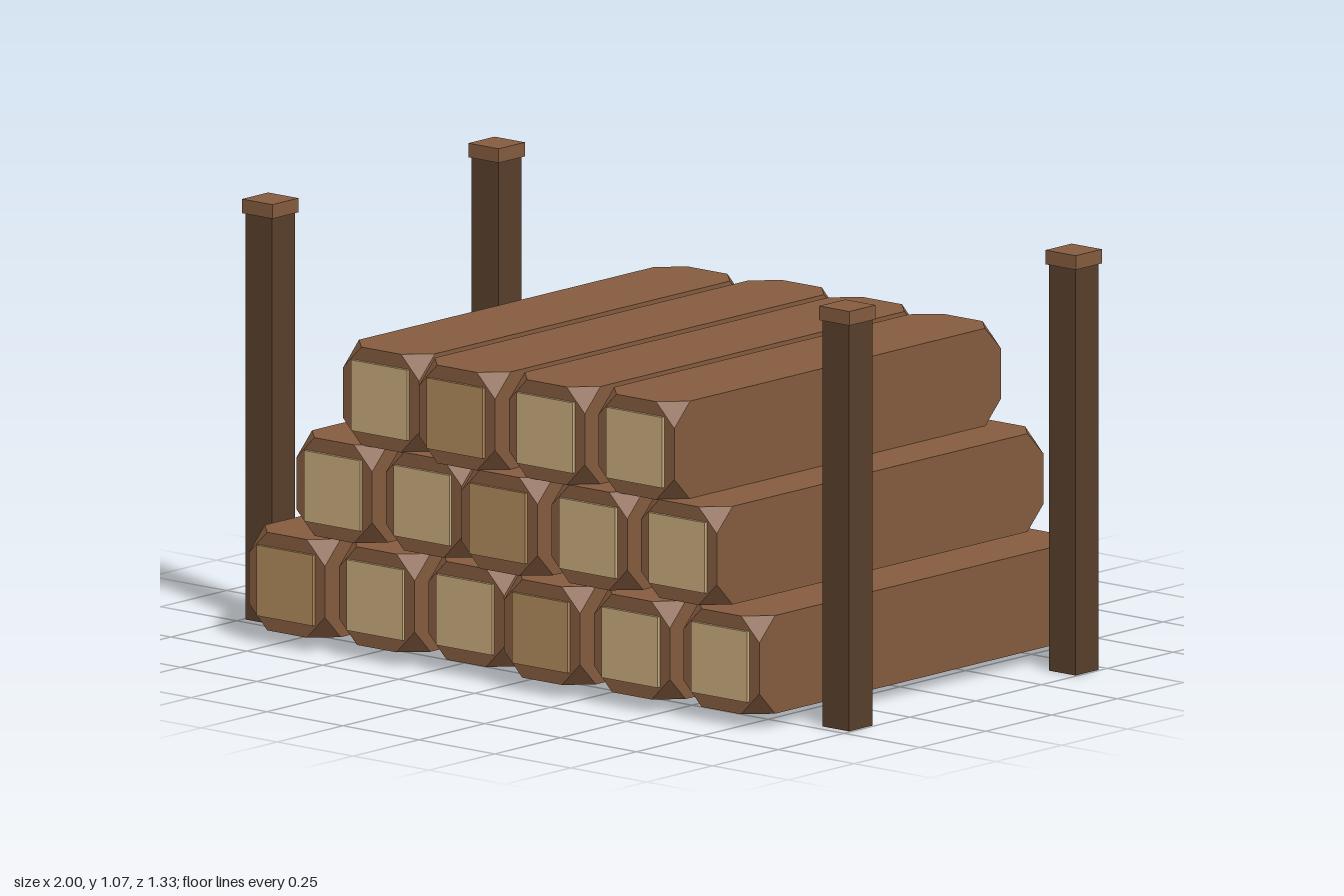
import * as THREE from 'three';
import { ConvexGeometry } from 'three/addons/geometries/ConvexGeometry.js';

const SIZE = 0.25, CUT = 0.06;

// Square log whose eight corners are cut off diagonally
function logGeometry(length) {
  const h = [SIZE / 2, SIZE / 2, length / 2];
  const points = [];
  for (const sx of [-1, 1]) for (const sy of [-1, 1]) for (const sz of [-1, 1]) {
    for (let axis = 0; axis < 3; axis++) {
      const p = [...h];
      p[axis] -= CUT;
      points.push(new THREE.Vector3(p[0] * sx, p[1] * sy, p[2] * sz));
    }
  }
  return new ConvexGeometry(points);
}

export function createModel() {
  const model = new THREE.Group();
  model.name = 'logStack';

  const material = (name, color) => {
    const m = new THREE.MeshStandardMaterial({ color, flatShading: true });
    m.name = name;
    return m;
  };
  const bark = material('bark brown', 0x855c40);
  const darkWood = material('dark post wood', 0x593f2c);
  const paleCut = material('pale cut wood', 0xc8ab7c);
  const tanCut = material('tan cut wood', 0xb08a5a);

  const add = (parent, name, geometry, mat, x, y, z) => {
    const mesh = new THREE.Mesh(geometry, mat);
    mesh.name = name;
    mesh.position.set(x, y, z);
    parent.add(mesh);
  };

  // Three rows of logs in three alternating lengths
  const halfLengths = [0.655, 0.637, 0.62];
  const logs = halfLengths.map((half) => logGeometry(half * 2));
  const cut = new THREE.BoxGeometry(0.184, 0.18, 0.02);
  const rows = [{ count: 6, y: 0.16 }, { count: 5, y: 0.418 }, { count: 4, y: 0.666 }];
  rows.forEach(({ count, y }, row) => {
    for (let i = 0; i < count; i++) {
      const kind = (row + i) % 3;
      const log = new THREE.Group();
      log.name = 'log';
      log.position.set((i - (count - 1) / 2) * 0.28, y, 0);
      add(log, 'logBody', logs[kind], bark, 0, 0, 0);
      for (const s of [-1, 1]) {
        add(log, 'cutEnd', cut, kind === 0 ? tanCut : paleCut, 0, 0, s * (halfLengths[kind] - 0.001));
      }
      model.add(log);
    }
  });

  // Four capped corner posts
  const post = new THREE.BoxGeometry(0.088, 1.035, 0.088);
  const cap = new THREE.BoxGeometry(0.1, 0.036, 0.1);
  for (const sx of [-1, 1]) for (const sz of [-1, 1]) {
    add(model, 'post', post, darkWood, sx * 0.95, 0.5175, sz * 0.43);
    add(model, 'postCap', cap, bark, sx * 0.95, 1.053, sz * 0.43);
  }
  return model;
}
